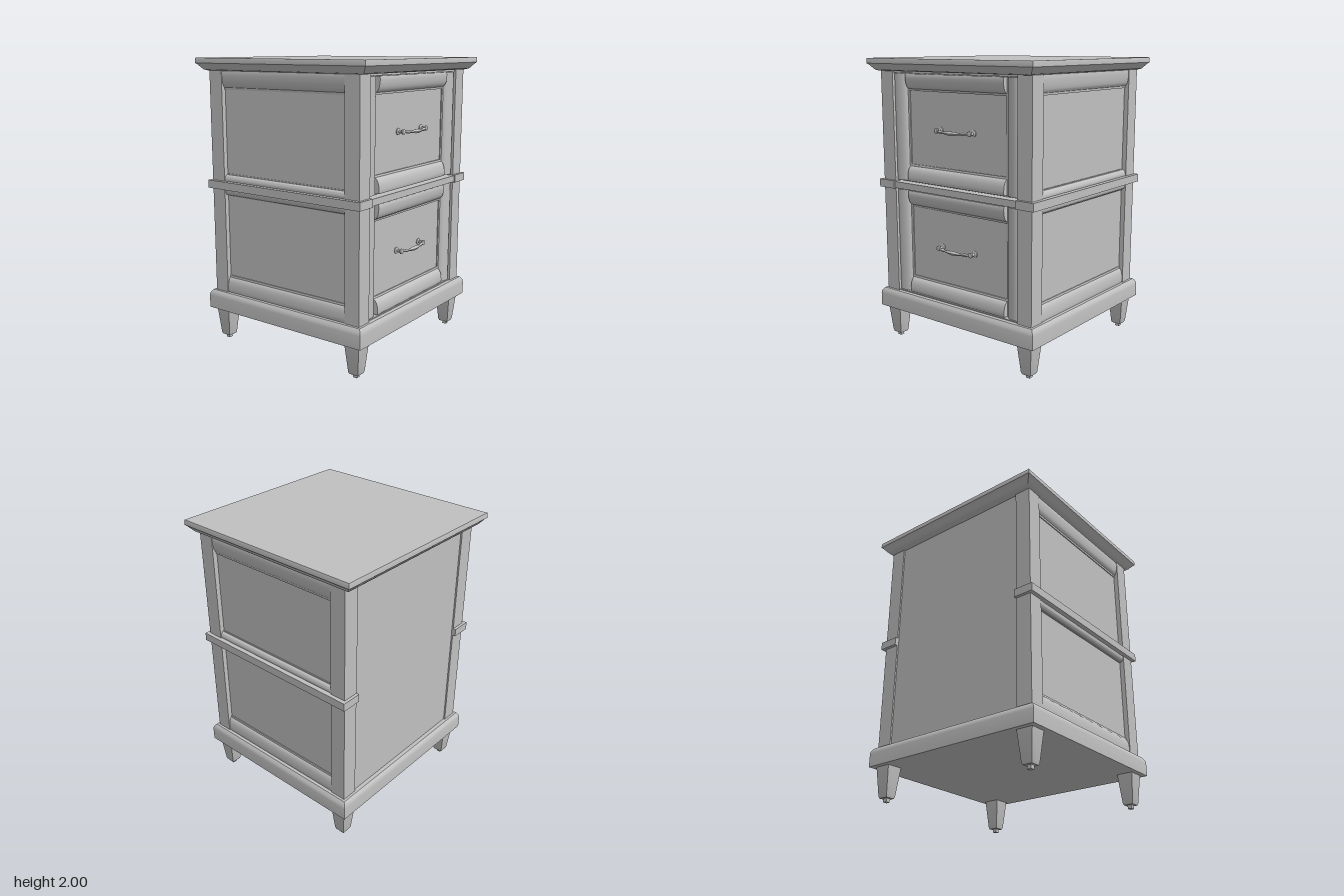
import * as THREE from 'three';
import { toCreasedNormals } from 'three/addons/utils/BufferGeometryUtils.js';

const grey = new THREE.MeshStandardMaterial({ color: 0xc0c0c0 });
grey.name = 'plain grey';

export function createModel() {
  const model = new THREE.Group();
  model.name = 'nightstand';

  const add = (name, geometry, parent = model) => {
    const mesh = new THREE.Mesh(geometry, grey);
    mesh.name = name;
    parent.add(mesh);
    return mesh;
  };

  // Box given by its limits on each axis
  const box = (name, x0, x1, y0, y1, z0, z1, parent) =>
    add(name, new THREE.BoxGeometry(x1 - x0, y1 - y0, z1 - z0), parent)
      .position.set((x0 + x1) / 2, (y0 + y1) / 2, (z0 + z1) / 2);

  // Square slab from a profile of [half width, y]
  const squareLathe = (profile, zScale = 1) => {
    const points = profile.map(([r, y]) => new THREE.Vector2(r * Math.SQRT2, y));
    const geometry = new THREE.LatheGeometry(points, 4, Math.PI / 4);
    geometry.scale(1, 1, zScale);
    return toCreasedNormals(geometry, 0.6);
  };

  // Rounded moulding: u runs from its outer to its inner edge, v out of the panel
  const moulding = (name, length, width, depth, origin, u, v, parent) => {
    const s = new THREE.Shape();
    s.moveTo(0, 0);
    s.lineTo(width, 0);
    s.lineTo(width, depth * 0.2);
    s.lineTo(width * 0.88, depth * 0.25);
    s.bezierCurveTo(width * 0.8, depth * 0.8, width * 0.5, depth, width * 0.12, depth);
    s.lineTo(0, depth * 0.9);
    s.closePath();
    const geometry = new THREE.ExtrudeGeometry(s, { depth: length, bevelEnabled: false, curveSegments: 8 });
    geometry.translate(0, 0, -length / 2);
    const U = new THREE.Vector3(...u), V = new THREE.Vector3(...v);
    const basis = new THREE.Matrix4().makeBasis(U, V, new THREE.Vector3().crossVectors(U, V));
    geometry.applyMatrix4(basis.setPosition(...origin));
    add(name, toCreasedNormals(geometry, 0.6), parent);
  };

  // Top, plinth and carcass
  add('top', squareLathe([[0, 1.915], [0.64, 1.915], [0.66, 1.922], [0.675, 1.94], [0.69, 1.957],
    [0.7, 1.965], [0.7, 1.99], [0.697, 2], [0, 2]]));
  add('plinth', squareLathe([[0, 0.235], [0.68, 0.235], [0.68, 0.325], [0.677, 0.342],
    [0.668, 0.356], [0.66, 0.366], [0, 0.366]], 0.97));
  box('carcass', -0.61, 0.61, 0.34, 1.93, -0.612, 0.57);

  // Corner posts, legs and band blocks
  for (const sx of [-1, 1]) {
    for (const sz of [-1, 1]) {
      const x = sx * 0.587, z = sz * 0.567;
      box('post', x - 0.056, x + 0.056, 0.35, 1.92, z - 0.056, z + 0.056);
      add('leg', squareLathe([[0, 0], [0.015, 0], [0.015, 0.025], [0.033, 0.025], [0.038, 0.04],
        [0.057, 0.235], [0, 0.235]])).position.set(x, 0, z);
      const bx = sx * 0.6, bz = sz * 0.576;
      box('bandBlock', bx - 0.07, bx + 0.07, 1.11, 1.165, bz - 0.068, bz + 0.068);
    }
    // Side band and the mouldings over and under each side panel
    box('sideBand', sx * 0.635 - 0.035, sx * 0.635 + 0.035, 1.11, 1.165, -0.51, 0.51);
    for (const [y, dir, w] of [[1.915, -1, 0.125], [1.165, 1, 0.05], [1.11, -1, 0.05], [0.365, 1, 0.12]]) {
      moulding('sideMoulding', 1.02, w, 0.03, [sx * 0.61, y, 0], [0, dir, 0], [sx, 0, 0]);
    }
  }

  // Front rails
  box('middleRail', -0.53, 0.53, 1.115, 1.16, 0.55, 0.635);
  box('upperRail', -0.53, 0.53, 1.903, 1.92, 0.55, 0.612);
  box('lowerRail', -0.53, 0.53, 0.355, 0.373, 0.55, 0.612);

  // Handle: two mounts and a swelling bar bowed forward
  const handle = (parent, y) => {
    const group = new THREE.Group();
    group.name = 'handle';
    group.position.set(0, y, 0.57);
    parent.add(group);
    for (const s of [-1, 1]) {
      const profile = [[0, 0], [0.023, 0], [0.023, 0.008], [0.011, 0.014], [0.01, 0.032],
        [0.018, 0.04], [0.017, 0.05], [0, 0.055]].map(p => new THREE.Vector2(...p));
      const mount = add('handleMount', toCreasedNormals(new THREE.LatheGeometry(profile, 12), 0.7), group);
      mount.rotation.x = Math.PI / 2;
      mount.position.x = s * 0.142;
    }
    const radii = [0.006, 0.008, 0.011, 0.007, 0.01, 0.013, 0.014, 0.013, 0.01, 0.007, 0.011, 0.008, 0.006];
    const bar = new THREE.LatheGeometry(
      radii.map((r, i) => new THREE.Vector2(r, -0.145 + 0.29 * i / 12)), 10);
    bar.rotateZ(-Math.PI / 2);
    const p = bar.attributes.position;
    for (let i = 0; i < p.count; i++) {
      const bow = 1 - (p.getX(i) / 0.145) ** 2;
      p.setZ(i, p.getZ(i) + 0.043 + 0.019 * bow);
      p.setY(i, p.getY(i) - 0.006 * bow);
    }
    bar.computeVertexNormals();
    add('handleBar', bar, group);
  };

  // Drawers: framed panels with a handle
  for (const [y0, y1] of [[0.377, 1.105], [1.172, 1.9]]) {
    const drawer = new THREE.Group();
    drawer.name = 'drawer';
    model.add(drawer);
    const yc = (y0 + y1) / 2;
    box('drawerPanel', -0.52, 0.52, y0, y1, 0.55, 0.572, drawer);
    for (const s of [-1, 1]) {
      moulding('drawerStile', y1 - y0, 0.11, 0.043, [s * 0.525, yc, 0.57], [-s, 0, 0], [0, 0, 1], drawer);
      moulding('drawerRail', 0.84, 0.115, 0.045, [0, s > 0 ? y1 : y0, 0.57], [0, -s, 0], [0, 0, 1], drawer);
    }
    handle(drawer, yc);
  }
  return model;
}
